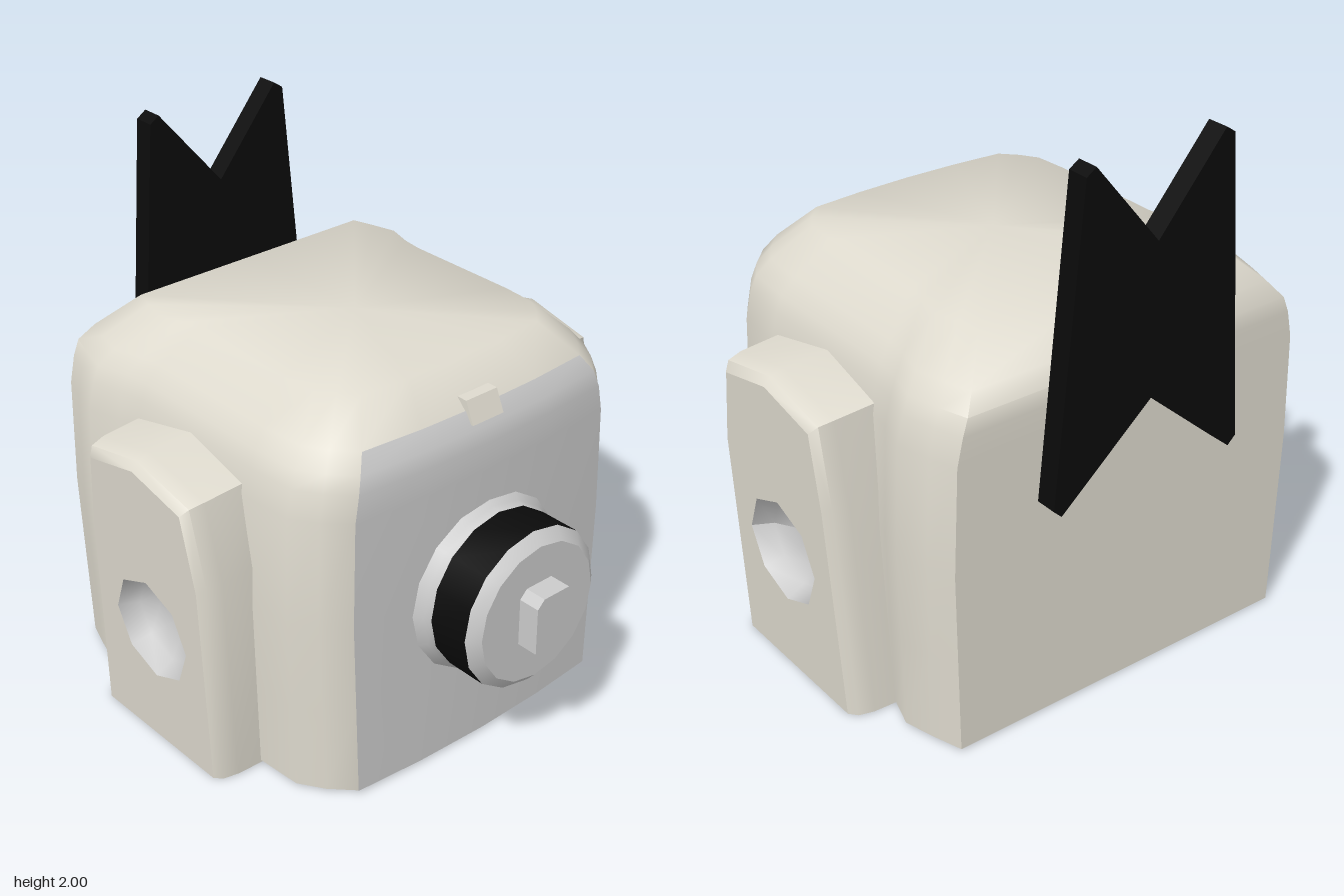
import * as THREE from 'three';
import { toCreasedNormals } from 'three/addons/utils/BufferGeometryUtils.js';

const mat = (color, side = THREE.FrontSide) => new THREE.MeshStandardMaterial({ color, side });
const shell = mat(0xdedace);
const grey = mat(0xcccccc);
const bowlGrey = mat(0xcccccc, THREE.DoubleSide);
const black = mat(0x0b0b0b);

function add(parent, name, geometry, material) {
  const mesh = new THREE.Mesh(geometry, material);
  mesh.name = name;
  parent.add(mesh);
  return mesh;
}

// Skin a list of equal-length loops of [x, y, z]; optionally closed round and capped.
function loft(rings, { closed = true, capStart = false, capEnd = false } = {}) {
  const n = rings[0].length;
  const pos = rings.flat(2);
  const idx = [];
  for (let l = 0; l < rings.length - 1; l++) {
    for (let i = 0; i < (closed ? n : n - 1); i++) {
      const a = l * n + i, b = l * n + (i + 1) % n;
      idx.push(a, b, b + n, a, b + n, a + n);
    }
  }
  const cap = (l, flip) => {
    const c = pos.length / 3;
    for (let k = 0; k < 3; k++) pos.push(rings[l].reduce((s, p) => s + p[k], 0) / n);
    for (let i = 0; i < n; i++) {
      const a = l * n + i, b = l * n + (i + 1) % n;
      idx.push(c, flip ? b : a, flip ? a : b);
    }
  };
  if (capStart) cap(0, true);
  if (capEnd) cap(rings.length - 1, false);
  const g = new THREE.BufferGeometry();
  g.setAttribute('position', new THREE.Float32BufferAttribute(pos, 3));
  g.setIndex(idx);
  return toCreasedNormals(g, 1.0);
}

// Half plan of the head, from front centre round to back centre: [x, z]
const halfPlan = [[0, 0.59], [0.3, 0.582], [0.58, 0.56], [0.66, 0.48], [0.72, 0.39], [0.735, 0.2],
  [0.735, -0.4], [0.75, -0.5], [0.79, -0.62], [0.755, -0.74], [0.72, -0.84], [0, -0.84]];
const plan = [...halfPlan, ...halfPlan.slice(1, -1).reverse().map(([x, z]) => [-x, z])];

// Levels of the head: [y, x scale, front z scale, back z scale]
const levels = [[0.01, 0.97, 1, 1], [0.35, 0.985, 1, 1], [0.7, 1, 1, 1], [1.1, 0.985, 1, 1],
  [1.2, 0.955, 0.997, 1], [1.26, 0.925, 0.975, 0.995], [1.32, 0.86, 0.91, 0.945], [1.44, 0.69, 0.71, 0.8]];
const section = (points, [y, sx, sf, sb]) => points.map(([x, z]) => [x * sx, y, z * (z > 0 ? sf : sb)]);

// Side pod (+x side) with a tapered outline and an eight-sided recess
function makePod() {
  const pod = new THREE.Group();
  pod.name = 'sidePod';
  const outline = [[-0.49, 0], [-0.44, 0.82], [-0.4, 1.11], [-0.12, 1.17], [0.16, 1.11], [0.215, 0.82], [0.2, 0]];
  const faceX = (y) => 0.89 + 0.05 * y;
  const ring = (s, sy, dx) => outline.map(([z, y]) => [dx === null ? 0.66 : faceX(y) - dx, y * sy, -0.12 + (z + 0.12) * s]);
  const inner = ring(0.9, 0.975, 0);
  add(pod, 'podWall', loft([ring(1.04, 1.025, null), ring(1.02, 1.01, 0.08), ring(0.98, 1, 0.025), inner]), shell);

  const hole = new THREE.Path();
  for (let k = 0; k < 8; k++) {
    const a = -k * Math.PI / 4, u = 0.12 + 0.2 * Math.cos(a), v = 0.49 + 0.2 * Math.sin(a);
    k ? hole.lineTo(u, v) : hole.moveTo(u, v);
  }
  hole.closePath();
  const shape = new THREE.Shape(inner.map(([, y, z]) => new THREE.Vector2(-z, y)));
  shape.holes.push(hole);
  // Lean a geometry so that its x follows the sloping pod face
  const lean = (g) => {
    const p = g.attributes.position;
    for (let i = 0; i < p.count; i++) p.setX(i, p.getX(i) + faceX(p.getY(i)));
    g.computeVertexNormals();
    return g;
  };
  add(pod, 'podFace', lean(new THREE.ShapeGeometry(shape).rotateY(Math.PI / 2)), shell);

  const profile = [[0, -0.12], [0.1, -0.11], [0.165, -0.07], [0.2, 0]].map((p) => new THREE.Vector2(...p));
  const bowl = new THREE.LatheGeometry(profile, 8).rotateZ(-Math.PI / 2).translate(0, 0.49, -0.12);
  add(pod, 'podRecess', lean(bowl), bowlGrey);
  return pod;
}

// Round snout made of turned pieces along z
function makeSnout() {
  const snout = new THREE.Group();
  snout.name = 'snout';
  const turned = (name, points, material) => {
    const g = new THREE.LatheGeometry(points.map((p) => new THREE.Vector2(...p)), 16).rotateX(Math.PI / 2);
    add(snout, name, toCreasedNormals(g, 0.7), material);
  };
  turned('snoutCollar', [[0.34, 0.57], [0.335, 0.59], [0.312, 0.61], [0.304, 0.64]], grey);
  turned('snoutBand', [[0.304, 0.635], [0.304, 0.8]], black);
  turned('snoutCap', [[0.304, 0.8], [0.3, 0.805], [0.262, 0.838], [0, 0.838]], grey);

  // Knob with clipped corners
  const w = 0.088, h = 0.12, c = 0.03;
  const knob = new THREE.Shape([[-w + c, -h], [w - c, -h], [w, -h + c], [w, h - c],
    [w - c, h], [-w + c, h], [-w, h - c], [-w, -h + c]].map((p) => new THREE.Vector2(...p)));
  add(snout, 'snoutKnob', new THREE.ExtrudeGeometry(knob, { depth: 0.1, bevelEnabled: false }).translate(0, 0, 0.82), grey);
  snout.position.y = 0.645;
  return snout;
}

export function createModel() {
  const model = new THREE.Group();
  model.name = 'boxHead';

  add(model, 'headShell', loft(levels.map((l) => section(plan, l)), { capStart: true, capEnd: true }), shell);

  // Front panel lies just proud of the shell
  const front = [...halfPlan.slice(1, 3).reverse().map(([x, z]) => [-x, z]), ...halfPlan.slice(0, 3)];
  const panelRings = levels.slice(0, -1).map((l) => section(front, l).map(([x, y, z]) => [x, y, z + 0.004]));
  add(model, 'frontPanel', loft(panelRings, { closed: false }), grey);

  // Small wedge on the brow, sloping back at the top
  const wedge = new THREE.BoxGeometry(0.14, 0.08, 0.1);
  const wp = wedge.attributes.position;
  for (let i = 0; i < wp.count; i++) if (wp.getY(i) > 0 && wp.getZ(i) > 0) wp.setZ(i, 0.015);
  wedge.computeVertexNormals();
  add(model, 'browWedge', wedge, shell).position.set(0, 1.318, 0.525);

  const podLeft = makePod();
  const podRight = makePod();
  podLeft.name = 'leftPod';
  podRight.name = 'rightPod';
  podRight.scale.x = -1;
  model.add(podLeft, podRight, makeSnout());

  // Notched back plate
  const half = [[0, 1.69], [0.26, 2], [0.297, 1.975], [0.392, 0.86], [0.36, 0.83], [0, 1.14]];
  const plate = new THREE.Shape([...half, ...half.slice(1, -1).reverse().map(([x, y]) => [-x, y])]
    .map((p) => new THREE.Vector2(...p)));
  add(model, 'backPlate', new THREE.ExtrudeGeometry(plate, { depth: 0.08, bevelEnabled: false }).translate(0, 0, -0.92), black);

  return model;
}
